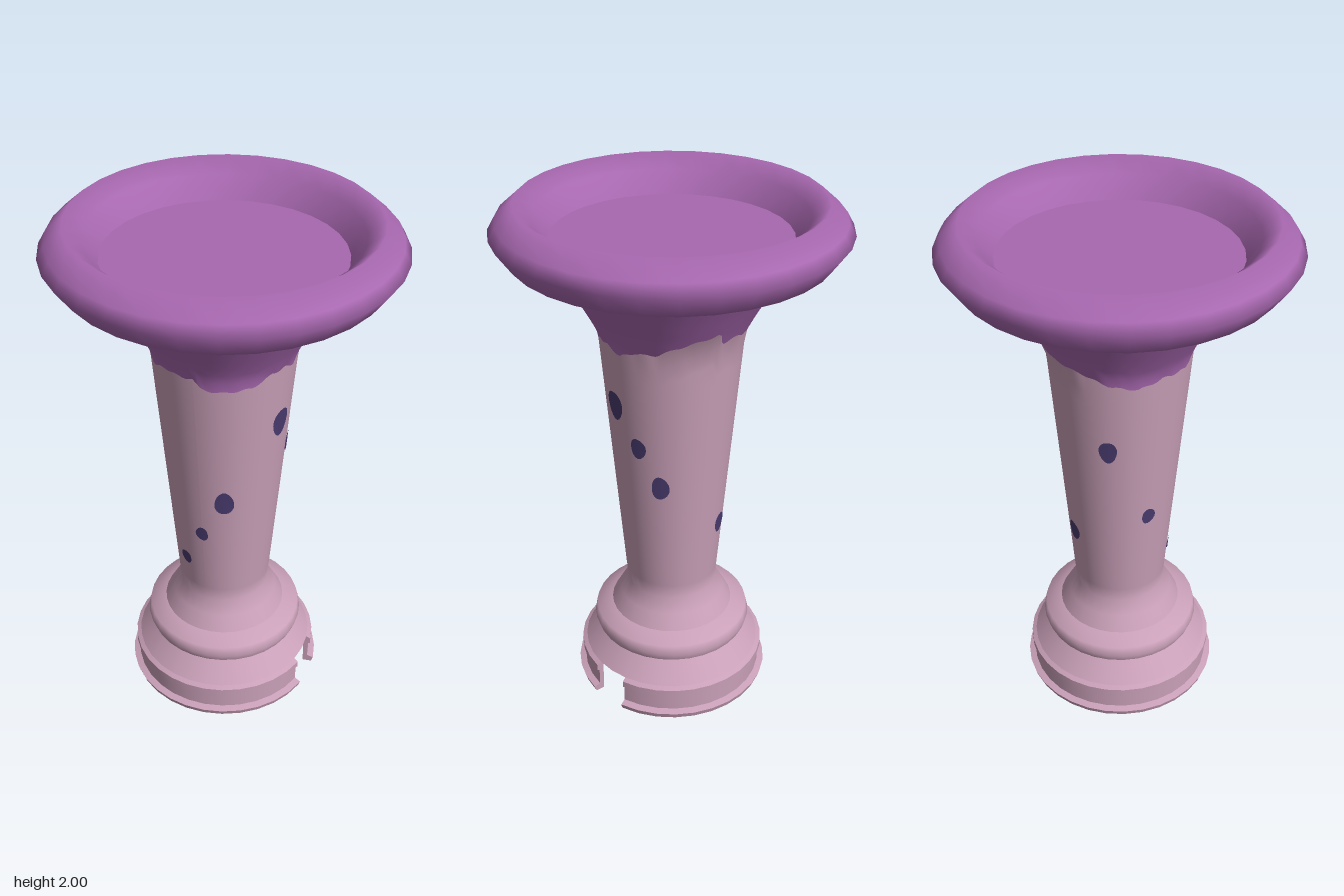
import * as THREE from 'three';
import { mergeGeometries } from 'three/addons/utils/BufferGeometryUtils.js';

const SIDES = 32;
const DEG = Math.PI / 180;

// Radius of the shaft and flare by height
const OUTLINE = [[0.175, 0.44], [0.265, 1.53], [0.30, 1.60], [0.35, 1.69], [0.42, 1.81], [0.455, 1.865]];
function radiusAt(y) {
  let i = 0;
  while (i < OUTLINE.length - 2 && y > OUTLINE[i + 1][1]) i++;
  const [r0, y0] = OUTLINE[i], [r1, y1] = OUTLINE[i + 1];
  return r0 + (r1 - r0) * (y - y0) / (y1 - y0);
}

// Ragged colour line around the shaft: [angle in degrees from the front, height]
const EDGE = [[0, 1.525], [6, 1.49], [20, 1.48], [45, 1.49], [62, 1.525], [76, 1.525], [90, 1.505], [105, 1.535],
  [122, 1.54], [135, 1.575], [150, 1.6], [165, 1.62], [170, 1.56], [178, 1.58], [195, 1.56], [225, 1.54],
  [250, 1.5], [270, 1.485], [290, 1.51], [315, 1.5], [335, 1.525], [350, 1.52], [360, 1.525]];
function edgeAt(phi) {
  const d = phi / DEG;
  let i = 0;
  while (i < EDGE.length - 2 && d > EDGE[i + 1][0]) i++;
  const [a, y0] = EDGE[i], [b, y1] = EDGE[i + 1];
  return y0 + (y1 - y0) * (d - a) / (b - a) + 0.004 * Math.sin(d * 0.35);
}

export function createModel() {
  const model = new THREE.Group();
  const material = (name, color, side = THREE.FrontSide) => {
    const m = new THREE.MeshStandardMaterial({ color, side });
    m.name = name;
    return m;
  };
  const pale = material('dusty pink', 0xc9a0b8, THREE.DoubleSide);
  const purple = material('purple', 0xa868b0, THREE.DoubleSide);
  const dark = material('dark violet', 0x4a3c70);

  const add = (name, geometry, mat) => {
    const mesh = new THREE.Mesh(geometry, mat);
    mesh.name = name;
    model.add(mesh);
    return mesh;
  };
  // Each run of points is smooth; the joints between runs stay sharp
  const lathe = (name, mat, runs, start = 0, length = Math.PI * 2, sides = SIDES) =>
    add(name, mergeGeometries(runs.map(run => new THREE.LatheGeometry(
      run.map(([r, y]) => new THREE.Vector2(r, y)), sides, start, length))), mat);

  // Rolled dish rim, bowl wall and floor
  lathe('dish', purple, [
    [[0.455, 1.865], [0.48, 1.83], [0.53, 1.81]],
    [[0.53, 1.81], [0.57, 1.822], [0.625, 1.90], [0.60, 1.943], [0.535, 2.0], [0.475, 1.95], [0.425, 1.87]],
    [[0.425, 1.87], [0, 1.87]],
  ]);

  // Tapered shaft and flare, divided by the ragged colour line
  const band = (name, mat, low, high, rows) => {
    const line = Array.from({ length: rows + 1 }, (_, i) => new THREE.Vector2(1, i / rows));
    const geometry = new THREE.LatheGeometry(line, 128);
    const p = geometry.attributes.position;
    for (let i = 0; i < p.count; i++) {
      const phi = Math.floor(i / (rows + 1)) / 128 * Math.PI * 2;
      const y = low(phi) + (high(phi) - low(phi)) * p.getY(i);
      const r = radiusAt(y);
      p.setXYZ(i, r * Math.sin(phi), y, r * Math.cos(phi));
    }
    geometry.computeVertexNormals();
    add(name, geometry, mat);
  };
  band('shaft', pale, () => 0.5, edgeAt, 16);
  band('flare', purple, edgeAt, () => 1.865, 10);

  // Foot of the shaft, collar ring and sloping skirt
  lathe('shaftFoot', pale, [[[0.24, 0.325], [0.207, 0.385], [0.175, 0.44], [radiusAt(0.5), 0.5]]]);
  lathe('collar', pale, [
    [[0.275, 0.23], [0.302, 0.233]],
    [[0.302, 0.233], [0.312, 0.262], [0.303, 0.3], [0.24, 0.325]],
  ]);
  lathe('skirt', pale, [[[0.352, 0.14], [0.275, 0.23]]]);

  // Hollow inside of the foot
  lathe('innerWall', pale, [
    [[0, 0.30], [0.23, 0.30]],
    [[0.23, 0.30], [0.285, 0.275], [0.262, 0.225]],
    [[0.262, 0.225], [0.34, 0.135]],
  ]);

  // Grooved base ring, open on the left side
  const half = Math.PI / 16;
  const ring = [[0.342, 0], [0.378, 0], [0.385, 0.022], [0.36, 0.03], [0.36, 0.10], [0.369, 0.104],
    [0.369, 0.13], [0.352, 0.14], [0.34, 0.135], [0.342, 0]];
  const runs = ring.slice(1).map((point, i) => [ring[i], point]);
  lathe('baseRing', pale, runs, Math.PI / 2 + half, Math.PI * 2 - 2 * half, SIDES - 2);
  const section = new THREE.Shape(ring.map(([r, y]) => new THREE.Vector2(r, y)));
  for (const side of [-1, 1]) {
    add('ringEnd', new THREE.ShapeGeometry(section), pale).rotation.y = side * half;
  }

  // Spots wrapped on the shaft: [angle, height, width, height of spot]
  const spots = [
    [78, 1.285, 0.085, 0.115], [102, 1.137, 0.062, 0.085], [122, 0.977, 0.066, 0.1],
    [24, 0.967, 0.072, 0.105], [0, 0.797, 0.05, 0.065], [-25, 0.632, 0.055, 0.06],
    [246, 1.21, 0.065, 0.095], [197, 0.745, 0.07, 0.085], [286, 0.88, 0.055, 0.07],
  ];
  spots.forEach(([angle, height, w, h], n) => {
    const geometry = new THREE.CircleGeometry(0.5, 18);
    const p = geometry.attributes.position;
    for (let i = 0; i < p.count; i++) {
      const a = Math.atan2(p.getY(i), p.getX(i));
      const wobble = 1 + 0.05 * Math.sin(3 * a + n);
      const y = height + p.getY(i) * h * wobble;
      const phi = angle * DEG + p.getX(i) * w * wobble / radiusAt(height);
      const r = radiusAt(y) + 0.004;
      p.setXYZ(i, r * Math.sin(phi), y, r * Math.cos(phi));
    }
    geometry.computeVertexNormals();
    add('spot', geometry, dark);
  });

  return model;
}
